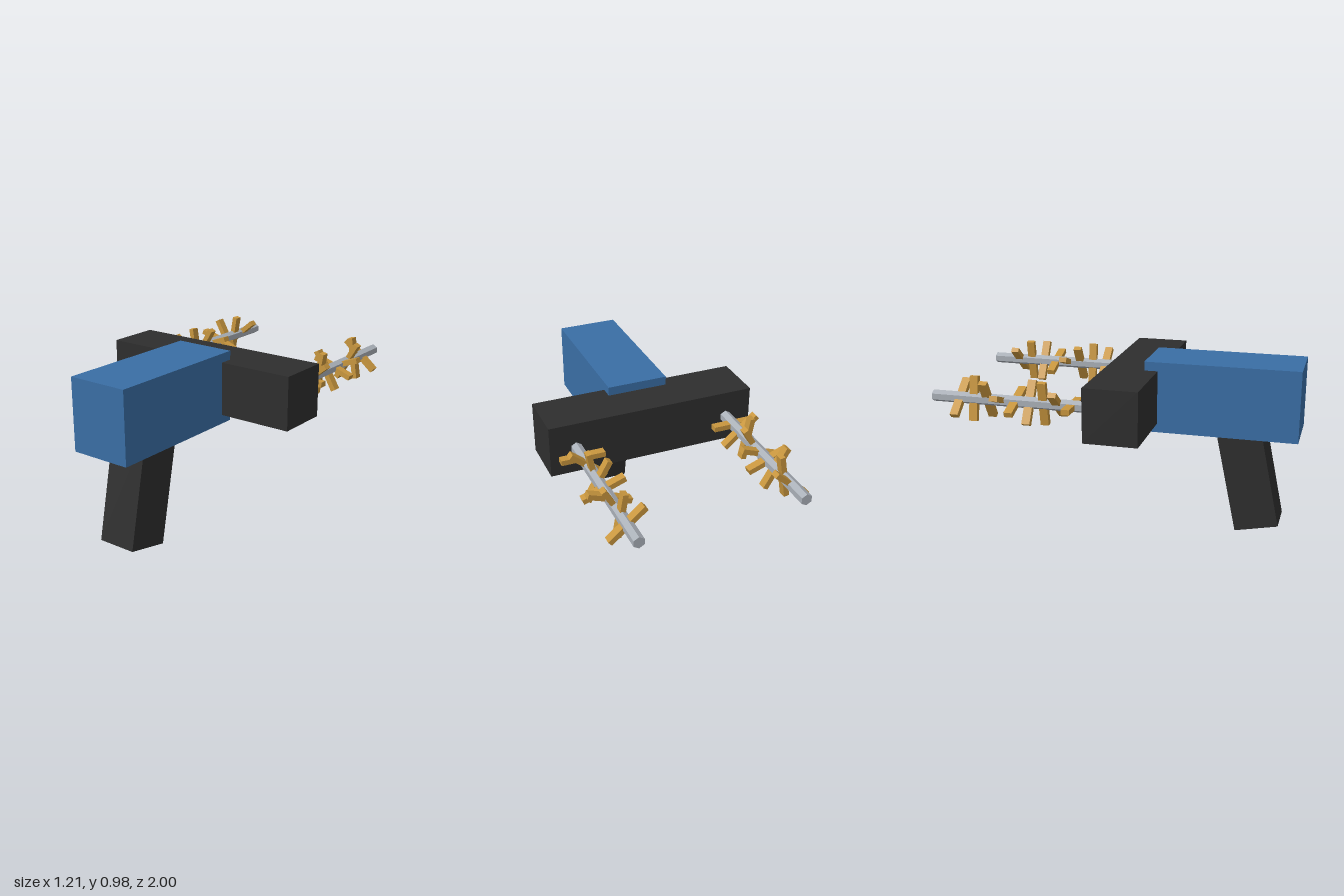
import * as THREE from 'three';

const mat = (name, color) => {
  const m = new THREE.MeshStandardMaterial({ color, flatShading: true });
  m.name = name;
  return m;
};

export function createModel() {
  const blue = mat('blue body', 0x3a6ea5);
  const dark = mat('dark grip', 0x2e2e2e);
  const steel = mat('steel', 0xaab0b8);
  const brass = mat('brass', 0xc8963e);

  const model = new THREE.Group();
  model.name = 'twinRodTool';

  const add = (parent, name, geometry, material, x, y, z) => {
    const mesh = new THREE.Mesh(geometry, material);
    mesh.name = name;
    mesh.position.set(x, y, z);
    parent.add(mesh);
    return mesh;
  };
  const box = (w, h, d) => new THREE.BoxGeometry(w, h, d);

  // Motor housing, cross bar and tilted handle
  add(model, 'housing', box(0.352, 0.403, 0.86), blue, 0, 0.78, 0.57);
  add(model, 'crossBar', box(1.212, 0.302, 0.302), dark, 0, 0.78, 0.064);
  const handle = add(model, 'handle', box(0.225, 0.65, 0.25), dark, 0, 0.345, 0.72);
  handle.rotation.x = -THREE.MathUtils.degToRad(12);

  // Hexagonal rods, each with a mirrored spiral of flat paddles
  const rodGeometry = new THREE.CylinderGeometry(0.033, 0.033, 0.92, 6).rotateX(Math.PI / 2);
  const paddleGeometry = box(0.25, 0.03, 0.047);
  for (const side of [1, -1]) {
    const mixer = new THREE.Group();
    mixer.name = side > 0 ? 'leftMixingRod' : 'rightMixingRod';
    mixer.position.set(side * 0.454, 0.782, 0);
    model.add(mixer);
    add(mixer, 'rod', rodGeometry, steel, 0, 0, -0.54);
    for (let i = 0; i < 9; i++) {
      const paddle = add(mixer, 'paddle', paddleGeometry, brass, 0, 0, -0.189 - i * 0.0812);
      paddle.rotation.z = side * THREE.MathUtils.degToRad(40 * i);
    }
  }
  return model;
}
